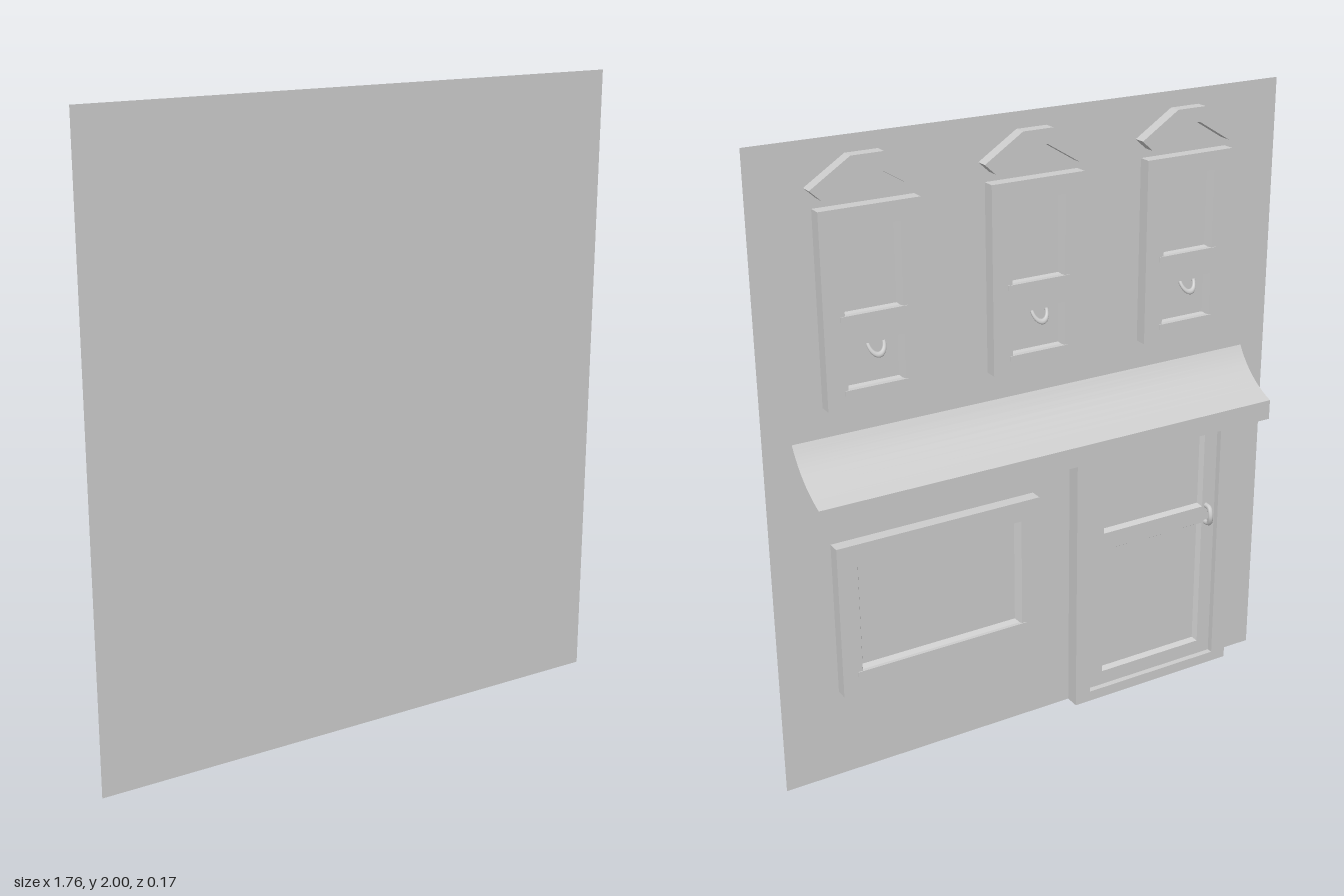
import * as THREE from 'three';

const WALL = 0.083; // z of the wall; all details stand out from it towards -z
const mat = new THREE.MeshStandardMaterial({ color: 0xcccccc, flatShading: true, side: THREE.DoubleSide });
const smooth = new THREE.MeshStandardMaterial({ color: 0xcccccc, side: THREE.DoubleSide });

function add(parent, name, geo, material = mat) {
  const mesh = new THREE.Mesh(geo, material);
  mesh.name = name;
  parent.add(mesh);
  return mesh;
}

// Rectangles are [x0, x1, y0, y1]
const corners = ([x0, x1, y0, y1]) => [[x0, y0], [x1, y0], [x1, y1], [x0, y1]].map(p => new THREE.Vector2(...p));
const inset = ([x0, x1, y0, y1], k) => [x0 + k, x1 - k, y0 + k, y1 - k];

// Flat outline with holes, standing out from depth d0 to depth d1
function slab(points, holes, d0, d1) {
  const shape = new THREE.Shape(points);
  holes.forEach(h => shape.holes.push(new THREE.Path(h)));
  const geo = new THREE.ExtrudeGeometry(shape, { depth: d1 - d0, bevelEnabled: false });
  return geo.translate(0, 0, WALL - d1);
}

// Sunken panel: sloping reveals from a rim at depth d1 down to a flat pane at depth d0
function sunkenPanel(rect, slope, d1, d0) {
  const rim = corners(rect), pane = corners(inset(rect, slope));
  const pos = [];
  const quad = (a, b, c, d) => [a, c, b, a, d, c].forEach(p => pos.push(...p));
  const at = (p, d) => [p.x, p.y, WALL - d];
  for (let i = 0; i < 4; i++) {
    const j = (i + 1) % 4;
    quad(at(rim[i], d1), at(rim[j], d1), at(pane[j], d0), at(pane[i], d0));
  }
  quad(...pane.map(p => at(p, d0)));
  const geo = new THREE.BufferGeometry();
  geo.setAttribute('position', new THREE.Float32BufferAttribute(pos, 3));
  geo.computeVertexNormals();
  return geo;
}

// Frame with sunken openings
function framed(parent, name, rect, openings, d0, d1, slope, pane) {
  add(parent, name + 'Frame', slab(corners(rect), openings.map(corners), d0, d1));
  openings.forEach(o => add(parent, name + 'Panel', sunkenPanel(o, slope, d1, pane)));
}

function sill(parent, x0, x1, y, d) {
  add(parent, 'sill', slab(corners([x0, x1, y - 0.012, y + 0.004]), [], 0.015, d));
}

// Upper window with its gable hood and lift handle
function upperWindow(cx) {
  const g = new THREE.Group();
  g.name = 'upperWindow';
  framed(g, 'window', [-0.155, 0.155, 1.23, 1.81],
    [[-0.09, 0.09, 1.5, 1.75], [-0.09, 0.09, 1.28, 1.42]], 0, 0.04, 0.008, 0.014);
  sill(g, -0.105, 0.105, 1.5, 0.043);
  sill(g, -0.1, 0.1, 1.28, 0.043);

  const half = [[0.05, 1.95], [0.175, 1.87], [0.14, 1.838], [0.03, 1.905]];
  const hood = [...half, ...half.map(([x, y]) => [-x, y]).reverse()].map(p => new THREE.Vector2(...p));
  add(g, 'gableHood', slab(hood, [], 0, 0.038));

  const handle = add(g, 'liftHandle', new THREE.TorusGeometry(0.025, 0.006, 8, 20, Math.PI), smooth);
  handle.rotation.set(0.55, 0, Math.PI, 'XYZ');
  handle.scale.y = 1.5;
  handle.position.set(0, 1.413, WALL - 0.04);
  g.position.x = cx;
  return g;
}

export function createModel() {
  const model = new THREE.Group();

  // Wall sheet
  add(model, 'wall', new THREE.PlaneGeometry(1.76, 2)).position.set(0, 1, WALL);

  [-0.535, 0, 0.535].forEach(x => model.add(upperWindow(x)));

  // Shop window
  const shop = new THREE.Group();
  shop.name = 'shopWindow';
  framed(shop, 'shopWindow', [0, 0.69, 0.295, 0.797], [[0.065, 0.625, 0.365, 0.73]], 0, 0.04, 0.012, 0.014);
  sill(shop, 0.05, 0.64, 0.365, 0.043);
  model.add(shop);

  // Door surround, leaf with two panels, and handle
  const door = new THREE.Group();
  door.name = 'door';
  const opening = [-0.69, -0.19, 0.035, 0.945];
  add(door, 'doorSurround', slab(corners([-0.745, -0.135, 0, 1]), [corners(opening)], 0, 0.048));
  framed(door, 'doorLeaf', opening,
    [[-0.64, -0.25, 0.6, 0.88], [-0.64, -0.25, 0.085, 0.54]], 0.004, 0.028, 0.01, 0.012);
  const lever = new THREE.CatmullRomCurve3([
    [-0.655, 0.602, 0.026], [-0.655, 0.598, 0.05], [-0.652, 0.57, 0.061], [-0.655, 0.545, 0.05], [-0.655, 0.54, 0.026],
  ].map(([x, y, d]) => new THREE.Vector3(x, y, WALL - d)));
  add(door, 'doorHandle', new THREE.TubeGeometry(lever, 20, 0.009, 8), smooth);
  model.add(door);

  // Awning: concave thin roof with an upright fascia, open at both ends
  const awning = new THREE.Group();
  awning.name = 'awning';
  const curve = new THREE.QuadraticBezierCurve(
    new THREE.Vector2(0, 1.138), new THREE.Vector2(0.055, 1.04), new THREE.Vector2(0.167, 1.0));
  const n = 10;
  const roof = new THREE.PlaneGeometry(1.58, 1, 1, n);
  const p = roof.attributes.position;
  for (let i = 0; i < p.count; i++) {
    const c = curve.getPoint(0.5 - p.getY(i));
    p.setXYZ(i, -p.getX(i), c.y, WALL - c.x);
  }
  roof.computeVertexNormals();
  add(awning, 'awningRoof', roof, smooth);
  const fascia = add(awning, 'awningFascia', new THREE.PlaneGeometry(1.58, 0.065));
  fascia.rotation.y = Math.PI;
  fascia.position.set(0, 0.9675, WALL - 0.167);
  model.add(awning);

  return model;
}
